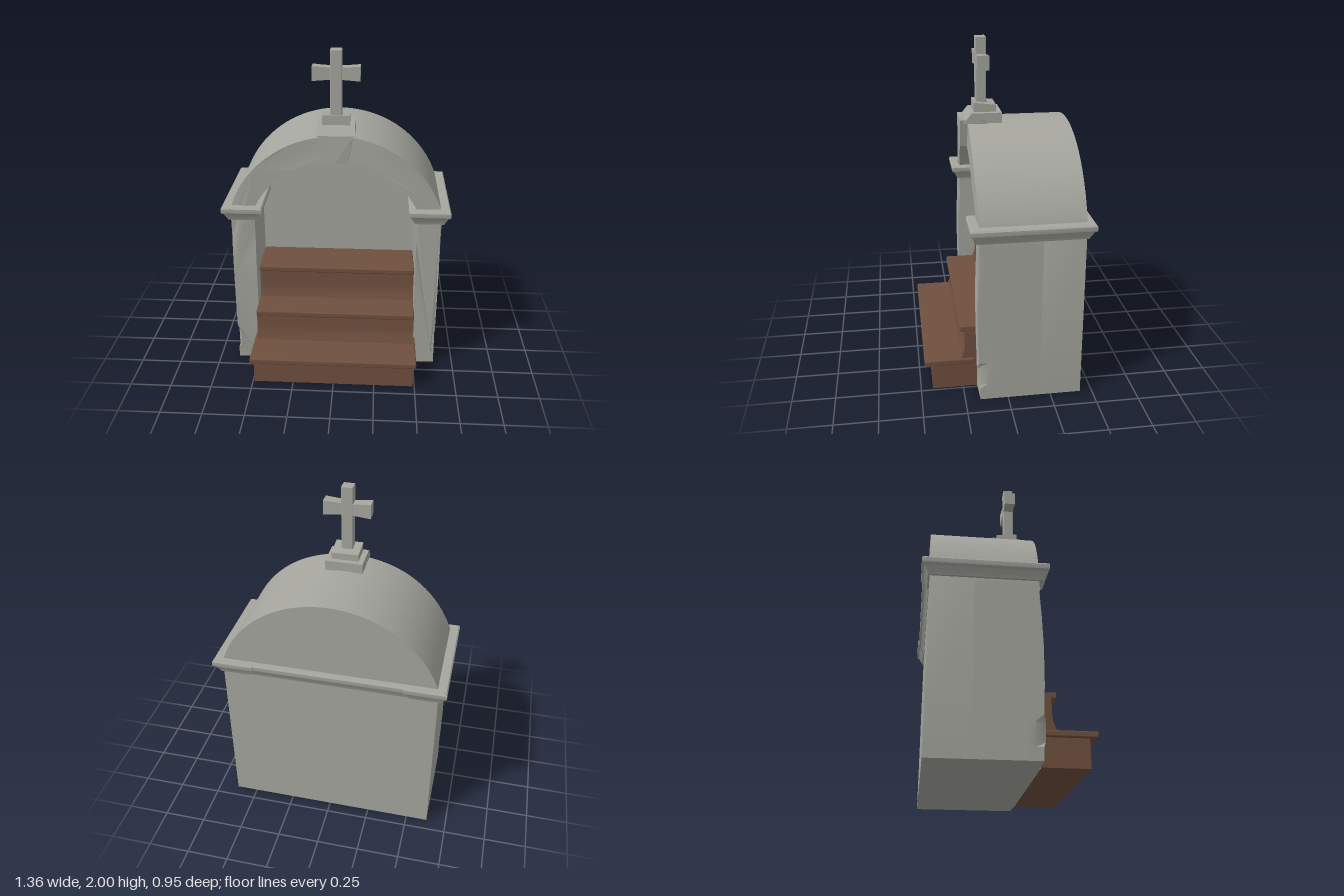
import * as THREE from 'three';
import { toCreasedNormals } from 'three/addons/utils/BufferGeometryUtils.js';
import { RoundedBoxGeometry } from 'three/addons/geometries/RoundedBoxGeometry.js';

const stone = new THREE.MeshStandardMaterial({ color: 0xa6a69f });
stone.name = 'weathered stone';
const wood = new THREE.MeshStandardMaterial({ color: 0x70503f });
wood.name = 'brown wood';

const HALF = 0.63, OPEN = 0.487, FRONT = 0.17, BACK = -0.43, INNER = -0.19;

function add(group, name, geometry, material) {
  const mesh = new THREE.Mesh(geometry, material);
  mesh.name = name;
  group.add(mesh);
  return mesh;
}

// Moves every vertex by a rule and rebuilds the normals, keeping edges sharp
function reshape(geometry, rule, crease = 0.5) {
  const p = geometry.attributes.position, v = new THREE.Vector3();
  for (let i = 0; i < p.count; i++) {
    rule(v.fromBufferAttribute(p, i));
    p.setXYZ(i, v.x, v.y, v.z);
  }
  return toCreasedNormals(geometry, crease);
}

// Box given by its limits
function block(x0, x1, y0, y1, z0, z1, r = 0.006) {
  const g = new RoundedBoxGeometry(x1 - x0, y1 - y0, z1 - z0, 2, r);
  return g.translate((x0 + x1) / 2, (y0 + y1) / 2, (z0 + z1) / 2);
}

// Points up the left side, over the arch and down the right side
function archLine(half, springY, topY, levels) {
  const rise = topY - springY;
  const radius = (half * half + rise * rise) / (2 * rise);
  const cy = topY - radius, sweep = Math.asin(half / radius);
  const points = levels.map(y => new THREE.Vector2(-half, y));
  for (let i = 0; i <= 40; i++) {
    const a = -sweep + (2 * sweep * i) / 40;
    points.push(new THREE.Vector2(radius * Math.sin(a), cy + radius * Math.cos(a)));
  }
  for (const y of [...levels].reverse()) points.push(new THREE.Vector2(half, y));
  return points;
}

// Moulding: stacked rectangles following a height and inset profile
function moulding(x0, x1, z0, z1) {
  const profile = [[0.99, 0.035], [1.005, 0.03], [1.035, 0.014], [1.045, 0.002], [1.055, 0], [1.072, 0], [1.08, 0.007]];
  const g = new THREE.BoxGeometry(1, 1, 1, 1, profile.length - 1, 1);
  return reshape(g, v => {
    const [y, inset] = profile[Math.round((v.y + 0.5) * (profile.length - 1))];
    v.set(v.x < 0 ? x0 + inset : x1 - inset, y, v.z < 0 ? z0 + inset : z1 - inset);
  }, 0.35);
}

export function createModel() {
  const model = new THREE.Group();
  model.name = 'archedShrine';

  // Walls and vault around the open niche, with a worn front edge
  const levels = [0, 0.07, 0.1, 0.2, 0.24, 0.4, 0.6, 0.8, 0.87, 0.95];
  const outer = archLine(HALF, 1.06, 1.52, levels);
  const inner = archLine(OPEN, 1.06, 1.375, levels);
  const niche = new THREE.ExtrudeGeometry(new THREE.Shape([...outer, ...inner.reverse()]),
    { depth: FRONT - INNER, steps: 8, bevelEnabled: false });
  niche.translate(0, 0, INNER);
  add(model, 'nicheWalls', reshape(niche, v => {
    if (v.z < FRONT - 0.01) return;
    v.z += 0.008 * Math.sin(5 * v.x + 1.2) * Math.cos(6 * v.y);
    const chip = v.y > 0.08 && v.y < 0.22;
    if (chip && Math.abs(v.x) > 0.6) { v.x *= 0.965; v.z += 0.012; }
    if (Math.abs(v.y - 0.87) < 0.01) v.z -= 0.006;
  }), stone);

  // Solid rear part, closing the niche
  const rear = new THREE.ExtrudeGeometry(new THREE.Shape(archLine(HALF, 1.06, 1.52, [0])),
    { depth: INNER - BACK, bevelEnabled: false });
  rear.translate(0, 0, BACK);
  add(model, 'rearWall', toCreasedNormals(rear, 0.5), stone);
  add(model, 'floorSlab', new THREE.BoxGeometry(2 * OPEN, 0.02, FRONT - INNER)
    .translate(0, 0.01, (FRONT + INNER) / 2), stone);

  // Cornices
  add(model, 'rightCornice', moulding(-0.68, -0.435, -0.475, 0.215), stone);
  add(model, 'leftCornice', moulding(0.435, 0.68, -0.475, 0.215), stone);
  add(model, 'backCornice', moulding(-0.5, 0.5, -0.467, -0.3), stone);

  // Keystone, narrowing downward and forward
  add(model, 'keystone', reshape(new THREE.BoxGeometry(1, 1, 1, 2, 1, 1), v => {
    const top = v.y > 0, front = v.z > 0;
    const half = (top ? 0.113 : 0.08) - (front ? 0.012 : 0);
    const ridge = v.x === 0 && !top ? 0.006 : 0;
    v.set(v.x * 2 * half, top ? 1.535 : 1.372, front ? 0.207 + ridge : 0.06);
  }, 0.1), stone);

  // Two plinths under the cross
  add(model, 'lowerPlinth', reshape(new THREE.BoxGeometry(1, 1, 1), v => {
    const top = v.y > 0;
    v.set(v.x * 0.22, top ? 1.575 : 1.515, v.z < 0 ? -0.037 : top ? 0.14 : 0.19);
  }), stone);
  add(model, 'upperPlinth', reshape(new THREE.BoxGeometry(1, 1, 1), v => {
    const back = v.z < 0;
    v.set(v.x * 0.158, v.y < 0 ? 1.57 : back ? 1.615 : 1.63, back ? -0.006 : 0.124);
  }), stone);

  // Cross, its arms flaring slightly at the ends
  add(model, 'crossPost', block(-0.034, 0.034, 1.61, 2, 0.045, 0.108), stone);
  for (const side of [-1, 1]) {
    add(model, side < 0 ? 'crossRightArm' : 'crossLeftArm', reshape(new THREE.BoxGeometry(1, 1, 1, 2), v => {
      const t = Math.round((v.x * side + 0.5) * 2);
      const half = [0.034, 0.038, 0.042][t];
      v.set(side * [0.02, 0.085, 0.136][t], 1.866 + v.y * 2 * half, 0.075 + v.z * (0.058 + 0.005 * t));
    }), stone);
  }

  // Stair body with flared risers
  const side = [[-0.18, 0.004], [0.43, 0.004], [0.43, 0.18], [0.262, 0.19], [0.24, 0.25], [0.235, 0.29], [0.235, 0.39],
    [0.087, 0.395], [0.065, 0.45], [0.06, 0.49], [0.06, 0.61], [-0.18, 0.61]];
  const stairs = new THREE.ExtrudeGeometry(new THREE.Shape(side.map(p => new THREE.Vector2(...p))),
    { depth: 0.98, bevelEnabled: false });
  stairs.rotateY(-Math.PI / 2).translate(0.49, 0, 0);
  add(model, 'stairRisers', toCreasedNormals(stairs, 0.3), wood);

  // Treads with overhanging noses
  add(model, 'lowerTread', block(-0.508, 0.503, 0.163, 0.198, 0.18, 0.475, 0.008), wood);
  add(model, 'middleTread', block(-0.489, 0.489, 0.373, 0.408, 0.03, 0.265, 0.008), wood);
  add(model, 'upperTread', block(-0.486, 0.486, 0.595, 0.63, -0.189, 0.092, 0.008), wood);

  return model;
}
